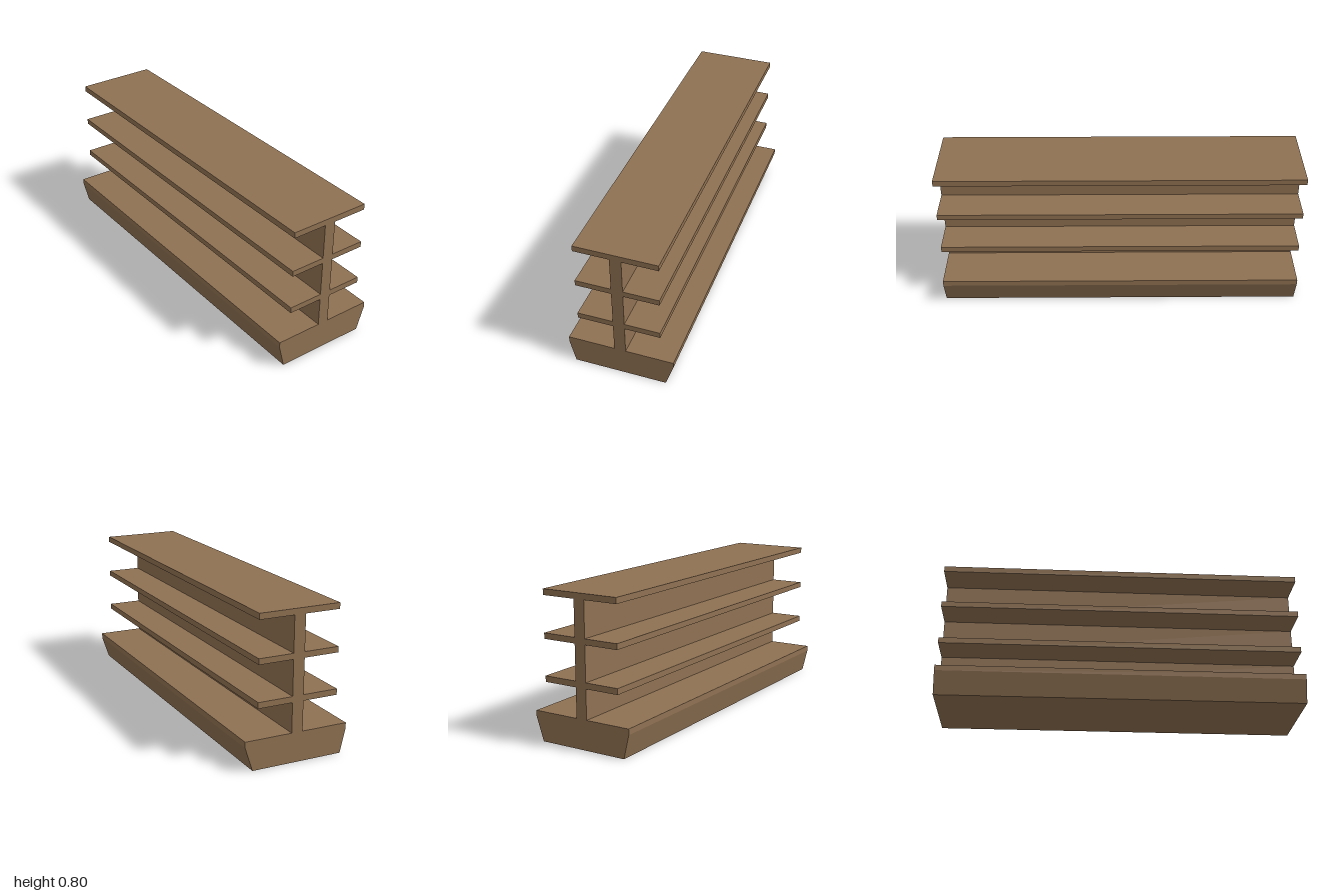
import * as THREE from 'three';

const LENGTH = 2;

// Extrudes a [z, y] side profile along x, centred on x = 0
function extrudeAlongX(name, points, material) {
  const shape = new THREE.Shape(points.map(([z, y]) => new THREE.Vector2(z, y)));
  const geometry = new THREE.ExtrudeGeometry(shape, { depth: LENGTH, bevelEnabled: false });
  geometry.translate(0, 0, -LENGTH / 2);
  geometry.rotateY(-Math.PI / 2);
  const mesh = new THREE.Mesh(geometry, material);
  mesh.name = name;
  return mesh;
}

export function createModel() {
  const group = new THREE.Group();
  group.name = 'shelfUnit';
  const wood = new THREE.MeshStandardMaterial({ color: 0x8f7152 });
  wood.name = 'brown wood';

  // Plinth with sides that taper towards the floor
  group.add(extrudeAlongX('base', [
    [0.257, 0], [0.288, 0.128], [0.288, 0.159],
    [-0.287, 0.159], [-0.287, 0.128], [-0.245, 0],
  ], wood));

  // Central panel with shelves on both sides, as one continuous profile
  const panel = { front: 0.034, back: -0.028 };
  const shelf = { front: 0.226, back: -0.219 };
  const shelves = [[0.319, 0.351], [0.541, 0.572], [0.763, 0.795]];
  const front = [[panel.front, 0.159]];
  const back = [[panel.back, 0.159]];
  shelves.forEach(([bottom, top], i) => {
    for (const [side, key] of [[front, 'front'], [back, 'back']]) {
      side.push([panel[key], bottom], [shelf[key], bottom], [shelf[key], top]);
      if (i < shelves.length - 1) side.push([panel[key], top]);
    }
  });
  group.add(extrudeAlongX('panelAndShelves', [...front, ...back.reverse()], wood));

  return group;
}
